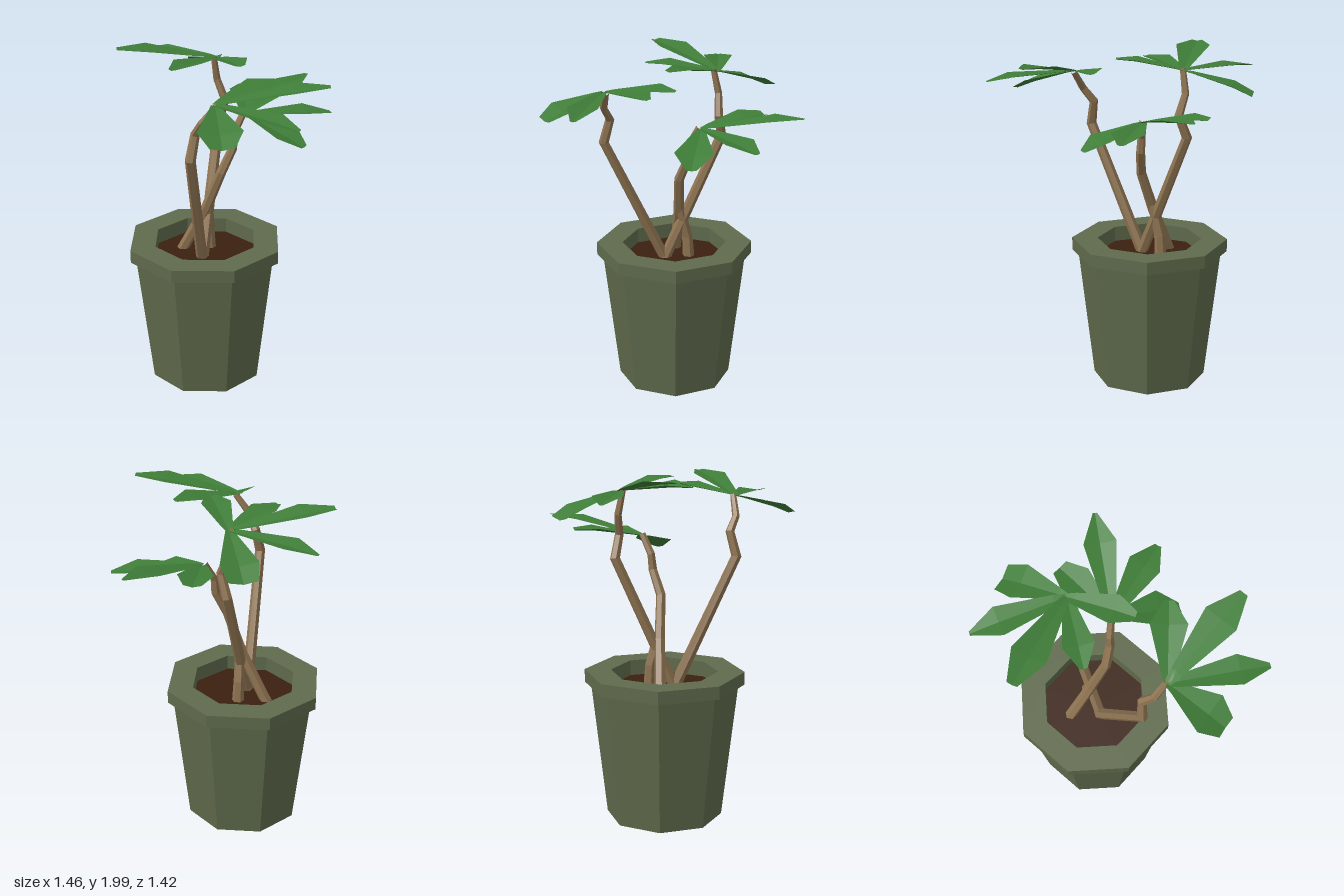
import * as THREE from 'three';

const V = (p) => new THREE.Vector3(...p);
const paint = (color, extra = {}) => new THREE.MeshStandardMaterial({ color, flatShading: true, ...extra });
const potMat = paint(0x5f6a4c);
const soilMat = paint(0x3a2010);
const barkMat = paint(0x8f7452);
const leafMat = paint(0x3f7d38, { side: THREE.DoubleSide });

// Surface from equal-length rows of points
function loft(rows, closed) {
  const n = rows[0].length, pos = [], idx = [];
  rows.forEach((r) => r.forEach((p) => pos.push(p.x, p.y, p.z)));
  for (let i = 0; i < rows.length - 1; i++) {
    for (let j = 0; j < (closed ? n : n - 1); j++) {
      const a = i * n + j, b = i * n + ((j + 1) % n);
      idx.push(a, b, a + n, b, b + n, a + n);
    }
  }
  const g = new THREE.BufferGeometry();
  g.setAttribute('position', new THREE.Float32BufferAttribute(pos, 3));
  g.setIndex(idx);
  g.computeVertexNormals();
  return g;
}

// Six-sided branch with mitred bends, tapering upwards
function stem(name, points, r0, r1) {
  const pts = points.map(V), last = pts.length - 1;
  const rows = pts.map((p, i) => {
    const dir = new THREE.Vector3();
    if (i > 0) dir.add(p.clone().sub(pts[i - 1]).normalize());
    if (i < last) dir.add(pts[i + 1].clone().sub(p).normalize());
    const q = new THREE.Quaternion().setFromUnitVectors(V([0, 1, 0]), dir.normalize());
    const r = r0 + ((r1 - r0) * i) / last;
    return Array.from({ length: 6 }, (_, k) => {
      const a = (k * Math.PI) / 3;
      return V([r * Math.sin(a), 0, r * Math.cos(a)]).applyQuaternion(q).add(p);
    });
  });
  const mesh = new THREE.Mesh(loft(rows, true), barkMat);
  mesh.name = name;
  return mesh;
}

// Leaf folded along its midrib: width is the half-width, blunt the half-width of the tip
function leaf(base, tip, width, blunt) {
  const a = V(base), dir = V(tip).sub(a);
  const side = dir.clone().cross(V([0, 1, 0])).normalize();
  const up = side.clone().cross(dir).normalize();
  const rows = [[0, 0.02, 0], [0.12, 0.035, 0.005], [0.7, width, 0.015], [1, blunt, 0]].map(([t, w, arch]) =>
    [-1, 0, 1].map((s) => a.clone().addScaledVector(dir, t).addScaledVector(side, s * w)
      .addScaledVector(up, arch + Math.abs(s) * w * 0.22 - w * 0.11)));
  const mesh = new THREE.Mesh(loft(rows, false), leafMat);
  mesh.name = 'leaf';
  return mesh;
}

function leafCluster(name, base, leaves) {
  const g = new THREE.Group();
  g.name = name;
  leaves.forEach(([tip, width, blunt]) => g.add(leaf(base, tip, width, blunt)));
  return g;
}

export function createModel() {
  const model = new THREE.Group();
  model.name = 'pottedPlant';

  // Eight-sided pot with a thick rim
  const profile = [[0, 0], [0.337, 0], [0.428, 0.79], [0.463, 0.79], [0.463, 0.865], [0.31, 0.865], [0.31, 0.76]]
    .map(([x, y]) => new THREE.Vector2(x, y));
  const pot = new THREE.Mesh(new THREE.LatheGeometry(profile, 8, 0.205), potMat);
  pot.name = 'pot';
  pot.position.set(-0.125, 0, 0.065);

  const soil = new THREE.Mesh(new THREE.CylinderGeometry(0.31, 0.31, 0.04, 8), soilMat);
  soil.name = 'soil';
  soil.rotation.y = 0.205;
  soil.position.set(-0.125, 0.755, 0.065);
  model.add(pot, soil);

  // Crooked stems
  model.add(
    stem('tallStem', [[-0.1, 0.74, 0.13], [-0.21, 1.52, -0.2], [-0.16, 1.65, -0.19], [-0.21, 1.77, -0.18], [-0.21, 1.91, -0.15]], 0.034, 0.017),
    stem('frontStem', [[-0.115, 0.74, 0.11], [0.055, 1.52, 0.44], [0.06, 1.66, 0.4], [0.12, 1.74, 0.42], [0.2, 1.85, 0.385]], 0.034, 0.018),
    stem('shortStem', [[-0.29, 0.74, 0.09], [-0.135, 1.05, 0.04], [-0.04, 1.29, 0.02], [0, 1.43, -0.04], [0, 1.52, -0.05], [0.025, 1.63, -0.11]], 0.034, 0.02),
    stem('shortStemFork', [[-0.15, 0.74, -0.02], [-0.15, 0.9, -0.01], [-0.125, 1.08, 0.03]], 0.036, 0.028));

  // Leaf clusters: tip, half-width, tip half-width
  model.add(
    leafCluster('topLeaves', [-0.2, 1.9, -0.17], [
      [[-0.73, 1.88, -0.1], 0.085, 0.012],
      [[-0.5, 1.77, -0.42], 0.105, 0.08],
      [[-0.58, 1.99, 0.265], 0.1, 0.03],
      [[-0.21, 1.93, 0.25], 0.085, 0.02],
      [[0.11, 1.96, 0.05], 0.085, 0.03],
    ]),
    leafCluster('frontLeaves', [0.19, 1.85, 0.4], [
      [[0.685, 1.95, 0.055], 0.1, 0.025],
      [[0.73, 1.83, 0.43], 0.085, 0.015],
      [[0.43, 1.74, 0.67], 0.12, 0.065],
      [[0.31, 1.9, -0.02], 0.1, 0.025],
    ]),
    leafCluster('backLeaves', [0.03, 1.62, -0.12], [
      [[0.08, 1.72, -0.7], 0.092, 0.012],
      [[0.385, 1.6, -0.48], 0.095, 0.02],
      [[0.42, 1.5, -0.13], 0.11, 0.03],
      [[-0.18, 1.67, -0.45], 0.1, 0.05],
    ]));
  return model;
}
